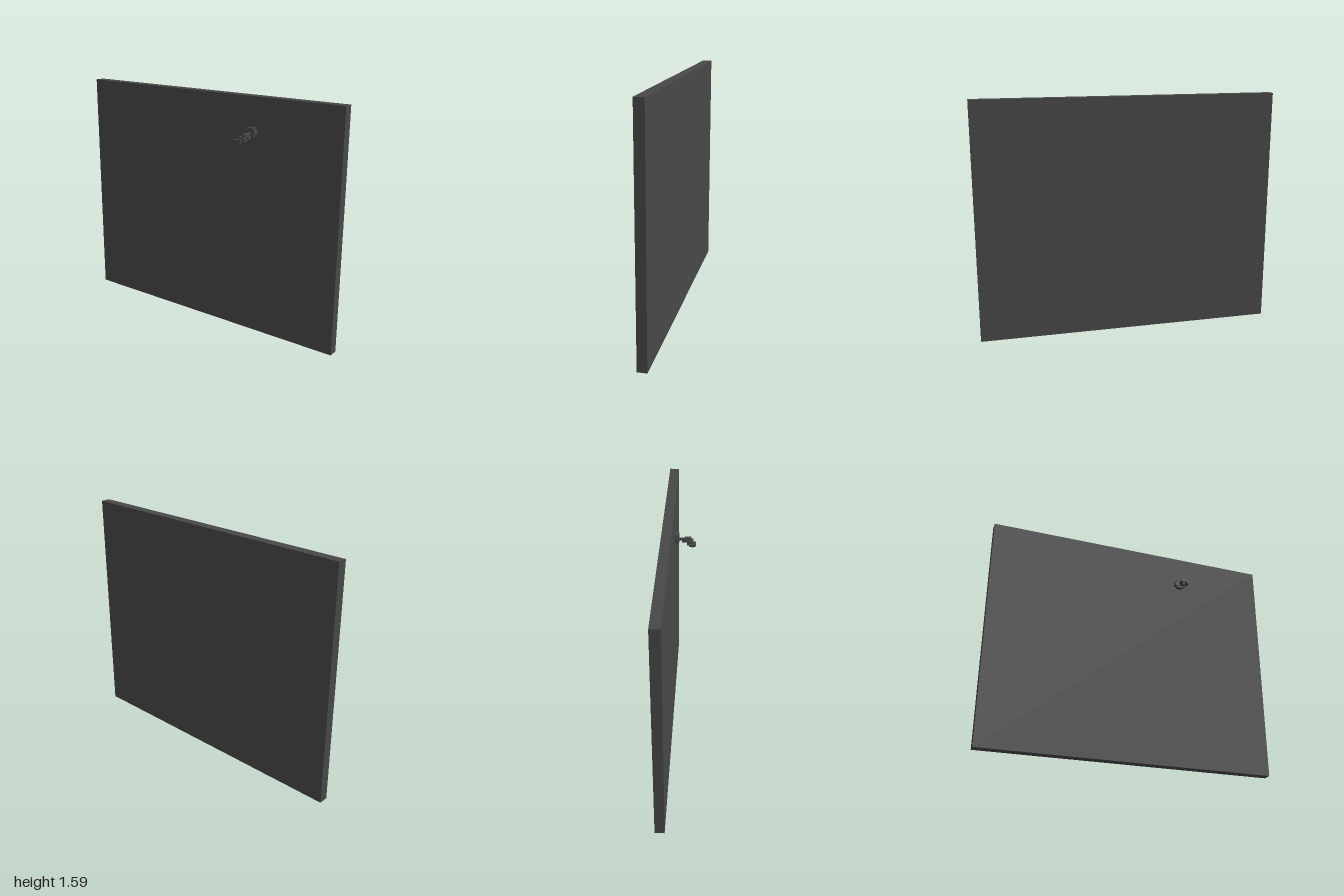
import * as THREE from 'three';

export function createModel() {
  const model = new THREE.Group();
  const charcoal = new THREE.MeshStandardMaterial({ color: 0x484848 });

  // Box given by its minimum and maximum on each axis
  const block = (parent, name, [x0, x1], [y0, y1], [z0, z1]) => {
    const mesh = new THREE.Mesh(new THREE.BoxGeometry(x1 - x0, y1 - y0, z1 - z0), charcoal);
    mesh.position.set((x0 + x1) / 2, (y0 + y1) / 2, (z0 + z1) / 2);
    mesh.name = name;
    parent.add(mesh);
  };

  // Tall wall slab
  block(model, 'wallPanel', [0.038, 0.102], [0, 1.59], [-1, 1]);

  const fixture = new THREE.Group();
  fixture.name = 'wallFixture';
  model.add(fixture);

  // Stepped round mount: a cross of two blocks
  block(fixture, 'mountTall', [0.008, 0.038], [1.336, 1.397], [0.347, 0.391]);
  block(fixture, 'mountWide', [0.008, 0.038], [1.351, 1.382], [0.332, 0.406]);

  // Thin arm
  block(fixture, 'arm', [-0.045, 0.008], [1.351, 1.366], [0.362, 0.377]);

  // Head made of blocks stepping down and outwards
  const steps = [
    [[-0.072, -0.028], [1.351, 1.366], [0.362, 0.391]],
    [[-0.06, -0.012], [1.336, 1.351], [0.362, 0.377]],
    [[-0.06, -0.03], [1.336, 1.351], [0.377, 0.406]],
    [[-0.088, -0.045], [1.336, 1.351], [0.347, 0.391]],
    [[-0.088, -0.045], [1.321, 1.336], [0.347, 0.391]],
    [[-0.104, -0.06], [1.321, 1.336], [0.332, 0.377]],
    [[-0.09, -0.074], [1.306, 1.321], [0.347, 0.362]],
  ];
  steps.forEach((s) => block(fixture, 'headStep', ...s));

  return model;
}
